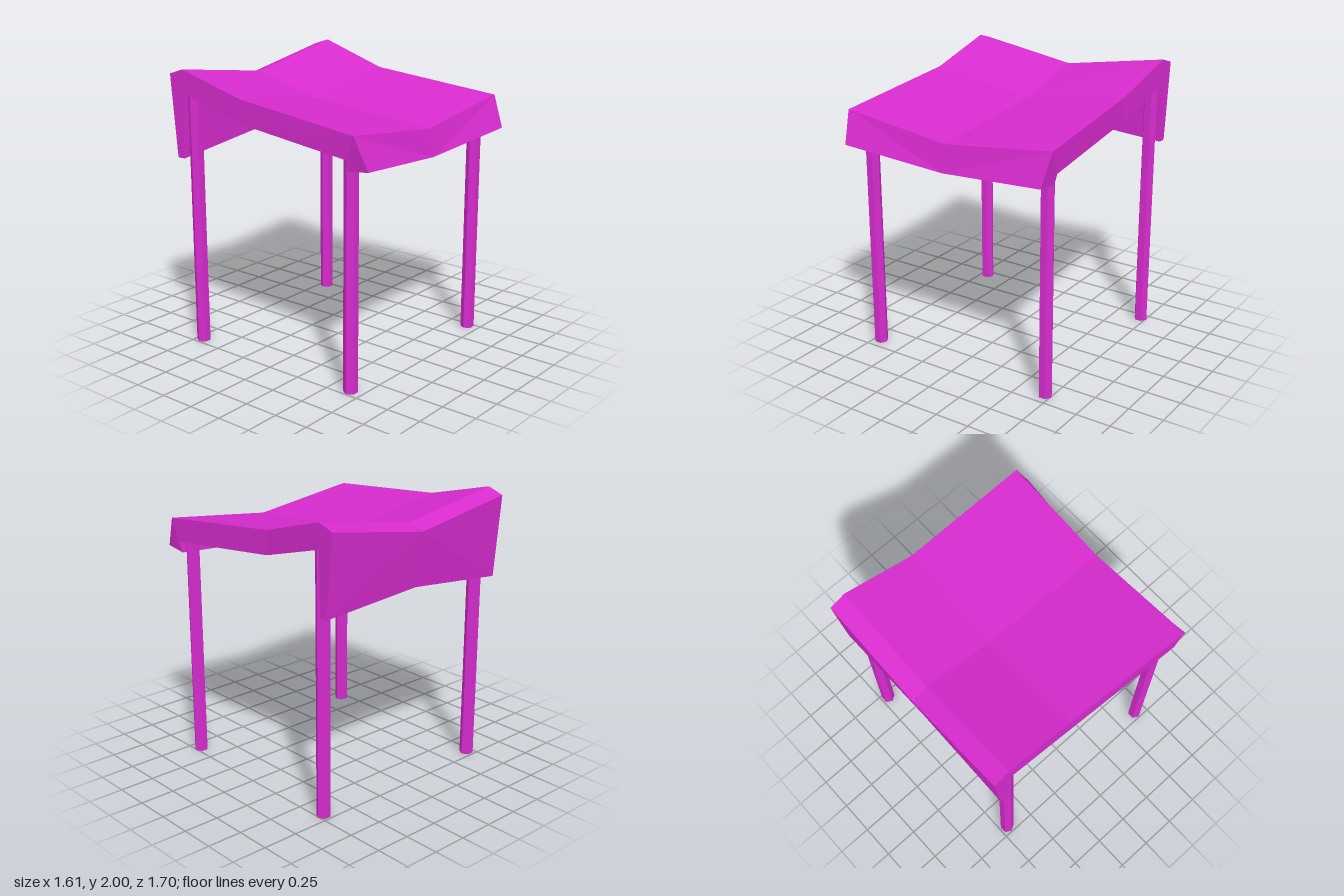
import * as THREE from 'three';

const material = new THREE.MeshStandardMaterial({ color: 0xd62bcd, flatShading: true });

// Canopy outline, running up the front lip, over the top, down the back and along the underside.
// Each row: z, then [x, y] at the right edge, y and z at the centre crease, [x, y] at the left edge.
const outline = [
  { z: 0.85, right: [-0.77, 1.53], mid: [1.465, 0.80], left: [0.775, 1.53] },   // lip bottom
  { z: 0.76, right: [-0.805, 1.75], mid: [1.65, 0.76], left: [0.805, 1.75] },   // front edge
  { z: -0.21, right: [-0.77, 1.845], mid: [1.73, -0.21], left: [0.755, 1.845] }, // bend
  { z: -0.73, right: [-0.77, 1.98], mid: [1.865, -0.73], left: [0.775, 2.0] },  // ridge
  { z: -0.85, right: [-0.77, 1.94], mid: [1.825, -0.85], left: [0.775, 1.96] }, // back edge
  { z: -0.80, right: [-0.77, 1.36], mid: [1.445, -0.80], left: [0.775, 1.40] }, // back flap, outside
  { z: -0.74, right: [-0.77, 1.36], mid: [1.445, -0.74], left: [0.775, 1.40] }, // back flap, inside
  { z: -0.73, right: [-0.77, 1.82], mid: [1.765, -0.73], left: [0.775, 1.83] }, // underside, back
  { z: -0.21, right: [-0.77, 1.68], mid: [1.61, -0.21], left: [0.755, 1.68] },  // underside, bend
  { z: 0.70, right: [-0.80, 1.59], mid: [1.52, 0.70], left: [0.80, 1.59] },     // underside, front
  { z: 0.69, right: [-0.77, 1.51], mid: [1.455, 0.69], left: [0.775, 1.51] },   // lip, inside bottom
];

function canopyGeometry() {
  const n = outline.length;
  const positions = [
    ...outline.flatMap(p => [...p.right, p.z]),
    ...outline.flatMap(p => [0, ...p.mid]),
    ...outline.flatMap(p => [...p.left, p.z]),
  ];
  const index = [];
  // Skin between neighbouring sections
  for (let s = 0; s < 2; s++) {
    for (let j = 0; j < n; j++) {
      const k = (j + 1) % n;
      const a = s * n + j, b = a + n, c = (s + 1) * n + k, d = s * n + k;
      // Mirror the diagonal across the centre crease
      if (s === 0) index.push(a, b, d, b, c, d);
      else index.push(a, b, c, a, c, d);
    }
  }
  // Side ends
  const end = [[0, 1, 10], [1, 9, 10], [1, 2, 8], [1, 8, 9], [2, 3, 7],
    [2, 7, 8], [3, 4, 7], [4, 5, 6], [4, 6, 7]];
  for (const [a, b, c] of end) {
    index.push(a, b, c);
    index.push(2 * n + a, 2 * n + c, 2 * n + b);
  }
  const indexed = new THREE.BufferGeometry();
  indexed.setAttribute('position', new THREE.Float32BufferAttribute(positions, 3));
  indexed.setIndex(index);
  const geometry = indexed.toNonIndexed();
  geometry.computeVertexNormals();
  return geometry;
}

// Hexagonal post with a corner facing sideways
function post(name, x, z, height) {
  const geometry = new THREE.CylinderGeometry(0.049, 0.049, height, 6);
  geometry.rotateY(Math.PI / 2);
  const mesh = new THREE.Mesh(geometry, material);
  mesh.name = name;
  mesh.position.set(x, height / 2, z);
  return mesh;
}

export function createModel() {
  const model = new THREE.Group();
  model.name = 'canopyShelter';

  const canopy = new THREE.Mesh(canopyGeometry(), material);
  canopy.name = 'canopy';
  model.add(canopy);

  for (const [side, x] of [['Right', -0.695], ['Left', 0.71]]) {
    model.add(post('front' + side + 'Post', x, 0.66, 1.61));
    model.add(post('back' + side + 'Post', x, -0.693, 1.83));
  }
  return model;
}
